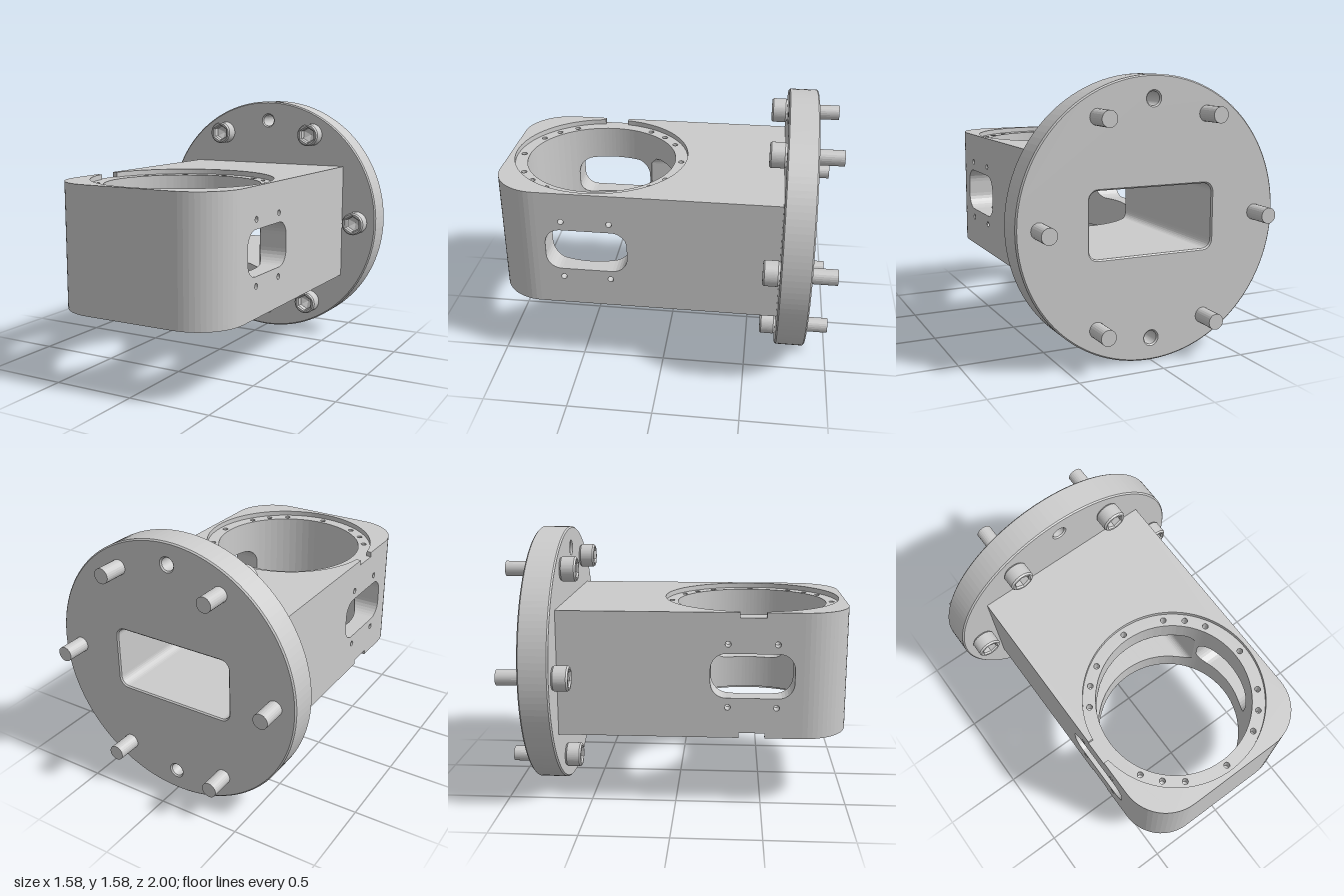
import * as THREE from 'three';

const mat = new THREE.MeshStandardMaterial({ color: 0xcccccc, flatShading: true, side: THREE.DoubleSide });
const CY = 0.79;                 // height of the main axis
const W = 0.555, H = 0.367;      // body half width and half height
const BACK = -0.68;              // front face of the flange
const R = 0.455, BZ = 0.44;      // vertical bore
const LIP = 0.03, SEAT = 0.53;   // seat recess around the bore
const V2 = (x, y) => new THREE.Vector2(x, y);
const V3 = (x, y, z) => new THREE.Vector3(x, y, z);

function add(parent, name, geometry) {
  const mesh = new THREE.Mesh(geometry, mat);
  mesh.name = name;
  parent.add(mesh);
  return mesh;
}

// Flat-sided surface from a list of four-cornered faces
function quads(list) {
  const pts = list.flatMap(([a, b, c, d]) => [a, b, c, a, c, d]);
  const g = new THREE.BufferGeometry().setFromPoints(pts);
  g.computeVertexNormals();
  return g;
}

// Surface joining two rows of points
function loft(a, b, closed) {
  const n = a.length, list = [];
  for (let i = 0; i < (closed ? n : n - 1); i++) {
    const j = (i + 1) % n;
    list.push([a[i], a[j], b[j], b[i]]);
  }
  return quads(list);
}

const circle = (x, y, r) => new THREE.Path().absarc(x, y, r, 0, Math.PI * 2, true);

// Rounded-rectangle openings in the bore wall, each facing the given angle
const windowHole = { w: 0.24, h: 0.13, r: 0.09 };
const ductHole = { w: 0.375, h: 0.185, r: 0.05 };
const openings = [
  { name: 'rightWindow', angle: Math.PI, end: W, ...windowHole },
  { name: 'leftWindow', angle: 0, end: W, ...windowHole },
  { name: 'rearDuct', angle: -Math.PI / 2, end: BZ - BACK + 0.01, ...ductHole },
];

function halfHeight(o, u) {
  const d = Math.max(Math.abs(u) - (o.w - o.r), 0);
  return o.h - o.r + Math.sqrt(Math.max(0, o.r * o.r - d * d));
}

function samples(o) {
  const us = [];
  for (let i = 0; i <= 7; i++) us.push(-(o.w - o.r) - o.r * Math.cos(i / 7 * Math.PI / 2));
  const right = us.map(u => -u).reverse();
  for (let i = 1; i < 12; i++) us.push((o.w - o.r) * (i / 6 - 1));
  return us.concat(right);
}

function loop(o) {
  const us = samples(o);
  return [...us.map(u => V2(u, halfHeight(o, u))), ...us.reverse().map(u => V2(u, -halfHeight(o, u)))];
}

// Passage from the bore out to a flat face
function tunnel(o) {
  const c = Math.cos(o.angle), s = Math.sin(o.angle);
  const place = (p, d) => V3(c * d - s * p.x, p.y, BZ + s * d + c * p.x);
  const pts = loop(o);
  return loft(pts.map(p => place(p, Math.sqrt(R * R - p.x * p.x))), pts.map(p => place(p, o.end)), true);
}

// Bore wall in vertical strips, split above and below each opening
function boreWall() {
  const angles = [];
  for (let i = 0; i <= 64; i++) angles.push(-Math.PI * 0.75 + i / 64 * Math.PI * 2);
  for (const o of openings)
    for (const u of samples(o)) angles.push(o.angle + Math.asin(u / R));
  angles.sort((a, b) => a - b);
  const top = H - LIP, list = [];
  const at = (a, y) => V3(R * Math.cos(a), y, BZ + R * Math.sin(a));
  for (let i = 0; i < angles.length - 1; i++) {
    const a = angles[i], b = angles[i + 1], m = (a + b) / 2;
    if (b - a < 1e-6) continue;
    const o = openings.find(q => Math.cos(m - q.angle) > 0 && Math.abs(R * Math.sin(m - q.angle)) < q.w);
    if (!o) {
      list.push([at(a, -top), at(b, -top), at(b, top), at(a, top)]);
      continue;
    }
    const ha = halfHeight(o, R * Math.sin(a - o.angle)), hb = halfHeight(o, R * Math.sin(b - o.angle));
    list.push([at(a, -top), at(b, -top), at(b, -hb), at(a, -ha)]);
    list.push([at(a, ha), at(b, hb), at(b, top), at(a, top)]);
  }
  return quads(list);
}

// Small blind hole running up from y = 0
const blindHole = (r, d) => new THREE.LatheGeometry([V2(r, 0), V2(r, d), V2(0, d + 0.01)], 16);

// Rounded front of the body in plan, from left to right
function frontCurve() {
  const r = 0.27, pts = [];
  for (let i = 0; i <= 14; i++) {
    const a = i / 14 * Math.PI / 2;
    pts.push(V2(W - r + r * Math.cos(a), 1 - r + r * Math.sin(a)));
  }
  return pts.concat(pts.map(p => V2(-p.x, p.y)).reverse());
}

// Bottom end of the body: recessed bolt seat and the raised lip with its slot
function bodyEnd() {
  const end = new THREE.Group();
  const outline = [V2(-W, BACK), V2(W, BACK), ...frontCurve()];
  const seat = new THREE.Shape(outline);
  seat.holes.push(circle(0, BZ, R));
  const level = -(H - LIP);
  for (const deg of [0, 30, 45, 60, 90, 120, 135, 150, -30, -45, -60, -90, -120, -135, -150]) {
    const a = deg * Math.PI / 180, x = 0.492 * Math.cos(a), z = BZ + 0.492 * Math.sin(a);
    seat.holes.push(circle(x, z, 0.017));
    add(end, 'seatScrewHole', blindHole(0.017, 0.08)).position.set(x, level, z);
  }
  add(end, 'boreSeat', new THREE.ShapeGeometry(seat, 32).rotateX(Math.PI / 2).translate(0, level, 0));

  const slot = 0.075, a = Math.PI - Math.asin(slot / SEAT);
  const lip = new THREE.Shape(outline);
  lip.lineTo(-W, BZ + slot);
  lip.lineTo(SEAT * Math.cos(a), BZ + slot);
  lip.absarc(0, BZ, SEAT, a, -a, true);
  lip.lineTo(-W, BZ - slot);
  const lipGeo = new THREE.ExtrudeGeometry(lip, { depth: LIP, bevelEnabled: false, curveSegments: 64 });
  add(end, 'seatLip', lipGeo.rotateX(Math.PI / 2).translate(0, level, 0));
  return end;
}

// Right side wall with its window and four screw holes
function sideWall() {
  const side = new THREE.Group(), y = H - LIP;
  const wall = new THREE.Shape([V2(BACK, -y), V2(0.73, -y), V2(0.73, y), V2(BACK, y)]);
  wall.holes.push(new THREE.Path(loop(windowHole).map(p => V2(p.x + BZ, p.y))));
  for (const dz of [-0.14, 0.14]) for (const dy of [-0.185, 0.185]) {
    wall.holes.push(circle(BZ + dz, dy, 0.017));
    add(side, 'windowScrewHole', blindHole(0.017, 0.07).rotateZ(-Math.PI / 2)).position.set(-W, dy, BZ + dz);
  }
  add(side, 'sideWall', new THREE.ShapeGeometry(wall, 16).rotateY(-Math.PI / 2).translate(-W, 0, 0));
  return side;
}

// Socket-head bolt along z
function bolt() {
  const g = new THREE.Group();
  const hex = Array.from({ length: 6 }, (_, i) => {
    const a = i * Math.PI / 3 + Math.PI / 6;
    return V2(0.05 * Math.cos(a), 0.05 * Math.sin(a));
  });
  const head = new THREE.Shape().absarc(0, 0, 0.073, 0, Math.PI * 2);
  head.holes.push(new THREE.Path(hex));
  add(g, 'boltHead', new THREE.ExtrudeGeometry(head, {
    depth: 0.075, bevelSize: 0.008, bevelThickness: 0.01, bevelOffset: -0.008, bevelSegments: 1, curveSegments: 28,
  })).position.z = BACK + 0.01;
  const floor = [...hex, hex[0]].map(p => V3(p.x, p.y, -0.635));
  add(g, 'socketFloor', loft(floor, floor.map(() => V3(0, 0, -0.66)), false));
  add(g, 'boltShank', new THREE.CylinderGeometry(0.045, 0.045, 0.32, 24).rotateX(Math.PI / 2)).position.z = -0.84;
  return g;
}

export function createModel() {
  const model = new THREE.Group();
  model.name = 'flangedHousing';

  // Housing body
  const body = new THREE.Group();
  body.name = 'body';
  body.position.y = CY;
  model.add(body);
  for (const s of [1, -1]) {
    const end = bodyEnd();
    end.name = s > 0 ? 'bottomEnd' : 'topEnd';
    end.scale.y = s;
    const side = sideWall();
    side.name = s > 0 ? 'rightSide' : 'leftSide';
    side.scale.x = s;
    body.add(end, side);
  }
  const curve = frontCurve(), y = H - LIP;
  add(body, 'frontWall', loft(curve.map(p => V3(p.x, y, p.y)), curve.map(p => V3(p.x, -y, p.y)), false));
  add(body, 'boreWall', boreWall());
  for (const o of openings) add(body, o.name, tunnel(o));

  // Round flange with the duct opening and two dowel holes
  const disc = new THREE.Shape().absarc(0, 0, 0.788, 0, Math.PI * 2);
  disc.holes.push(new THREE.Path(loop(ductHole)), circle(0, 0.66, 0.038), circle(0, -0.66, 0.038));
  add(model, 'flange', new THREE.ExtrudeGeometry(disc, {
    depth: 0.159, bevelSize: 0.008, bevelThickness: 0.008, bevelOffset: -0.008, bevelSegments: 1, curveSegments: 64,
  })).position.set(0, CY, -0.847);

  // Ring of bolts
  for (let i = 0; i < 6; i++) {
    const b = bolt(), a = i * Math.PI / 3;
    b.name = 'bolt';
    b.position.set(0.66 * Math.cos(a), CY + 0.66 * Math.sin(a), 0);
    model.add(b);
  }
  return model;
}
